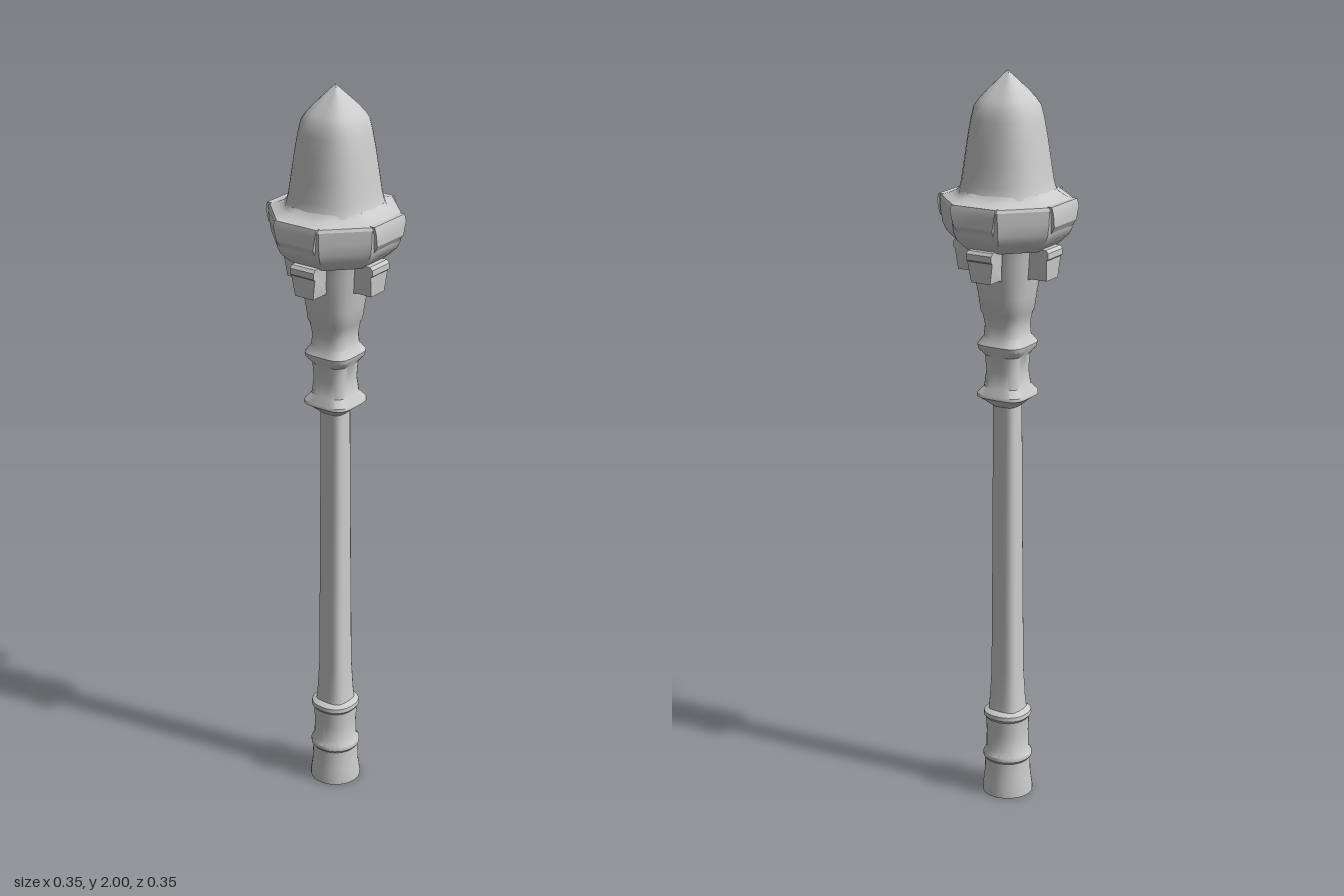
import * as THREE from 'three';
import { toCreasedNormals } from 'three/addons/utils/BufferGeometryUtils.js';

const material = new THREE.MeshStandardMaterial({ color: 0xcccccc });
const SEGMENTS = 32;

// Polar radius of a superellipse: n = 2 is a circle, larger n is squarer
const roundedSquare = (t, r, n) =>
  r / Math.pow(Math.abs(Math.cos(t)) ** n + Math.abs(Math.sin(t)) ** n, 1 / n);

// Polar radius of a square with cut corners; d = diagonal reach / half width
const octagon = (t, r, d) => {
  const c = Math.abs(Math.cos(t)), s = Math.abs(Math.sin(t));
  return Math.min(r / Math.max(c, s), (d * r * Math.SQRT2) / (c + s));
};

// Skin rings of [height, half width, section shape] from bottom to top
function loft(name, rings, section, crease = 0.6) {
  const positions = [], index = [];
  for (const [y, r, k] of rings) {
    for (let j = 0; j < SEGMENTS; j++) {
      const t = (j / SEGMENTS) * Math.PI * 2, d = section(t, r, k);
      positions.push(d * Math.cos(t), y, d * Math.sin(t));
    }
  }
  for (let i = 0; i < rings.length - 1; i++) {
    for (let j = 0; j < SEGMENTS; j++) {
      const k = (j + 1) % SEGMENTS;
      const a = i * SEGMENTS + j, b = i * SEGMENTS + k;
      const c = a + SEGMENTS, d = b + SEGMENTS;
      if (rings[i][1] > 0) index.push(a, c, b);
      if (rings[i + 1][1] > 0) index.push(b, c, d);
    }
  }
  // A pointed ring needs only the triangles that touch the other ring
  const geometry = new THREE.BufferGeometry();
  geometry.setAttribute('position', new THREE.Float32BufferAttribute(positions, 3));
  geometry.setIndex(index);
  const mesh = new THREE.Mesh(toCreasedNormals(geometry, crease), material);
  mesh.name = name;
  return mesh;
}

// Extrude a [radius, height] outline to a given width, facing +x.
// The width shrinks to `taper` of itself at the lowest point.
function sidePiece(name, outline, width, taper) {
  const shape = new THREE.Shape(outline.map(([r, y]) => new THREE.Vector2(r, y)));
  const geometry = new THREE.ExtrudeGeometry(shape, { depth: width, bevelEnabled: false });
  geometry.translate(0, 0, -width / 2);
  const heights = outline.map((p) => p[1]);
  const low = Math.min(...heights), high = Math.max(...heights);
  const p = geometry.attributes.position;
  for (let i = 0; i < p.count; i++) {
    const f = (p.getY(i) - low) / (high - low);
    p.setZ(i, p.getZ(i) * THREE.MathUtils.lerp(taper, 1, Math.min(1, f * 1.4)));
  }
  const mesh = new THREE.Mesh(toCreasedNormals(geometry, 0.5), material);
  mesh.name = name;
  return mesh;
}

export function createModel() {
  const model = new THREE.Group();
  model.name = 'lampPost';
  const post = new THREE.Group();
  post.name = 'post';
  post.position.x = -0.006;
  model.add(post);

  // Round foot with two raised bands
  post.add(loft('foot', [
    [0, 0, 2], [0, 0.069, 2], [0.012, 0.069, 2], [0.05, 0.063, 2.1], [0.1, 0.061, 2.1],
    [0.107, 0.066, 2.1], [0.117, 0.066, 2.1], [0.13, 0.057, 2.2], [0.18, 0.056, 2.2],
    [0.222, 0.057, 2.3], [0.23, 0.063, 2.3], [0.241, 0.062, 2.3], [0.25, 0.048, 2.5],
    [0.25, 0, 2.5],
  ], roundedSquare));

  // Long shaft with softened square section
  post.add(loft('shaft', [
    [0.24, 0.048, 3], [0.28, 0.043, 3.5], [0.36, 0.038, 4], [0.7, 0.0355, 4], [1.14, 0.033, 4],
  ], roundedSquare));

  // Square collars and flaring neck
  post.add(loft('neck', [
    [1.12, 0, 4], [1.12, 0.034, 4], [1.138, 0.055, 4], [1.148, 0.07, 4], [1.156, 0.069, 4],
    [1.175, 0.054, 3.6], [1.215, 0.049, 3.6], [1.26, 0.052, 3.6], [1.278, 0.066, 4],
    [1.29, 0.068, 4], [1.31, 0.055, 3.5], [1.34, 0.053, 3.2], [1.37, 0.059, 3],
    [1.38, 0.064, 3], [1.42, 0.07, 2.8], [1.47, 0.08, 2.6], [1.52, 0.086, 2.6],
    [1.57, 0.095, 2.5],
  ], roundedSquare));

  // Eight-sided bowl with a lip sweeping up to the dome
  post.add(loft('bowl', [
    [1.553, 0, 1], [1.553, 0.115, 1], [1.566, 0.13, 1], [1.585, 0.15, 0.99],
    [1.605, 0.16, 0.98], [1.635, 0.166, 0.97], [1.668, 0.168, 0.97], [1.676, 0.164, 0.97],
    [1.682, 0.14, 1], [1.69, 0.124, 1.03], [1.7, 0.115, 1.06],
  ], octagon, 0.5));

  // Tapered dome ending in a four-sided point
  post.add(loft('dome', [
    [1.68, 0.126, 2.4], [1.695, 0.118, 2.5], [1.72, 0.111, 2.6], [1.77, 0.104, 2.6],
    [1.83, 0.095, 2.7], [1.88, 0.086, 2.8], [1.91, 0.078, 3], [1.928, 0.066, 3.2],
    [1.95, 0.047, 3.5], [1.975, 0.023, 4], [2, 0, 4],
  ], roundedSquare));

  // Four brackets and four lip panels, one per side
  const bracketOutline = [
    [0.05, 1.46], [0.085, 1.475], [0.133, 1.475], [0.137, 1.53], [0.142, 1.534],
    [0.142, 1.55], [0.135, 1.558], [0.05, 1.558],
  ];
  const panelOutline = [
    [0.12, 1.605], [0.158, 1.605], [0.171, 1.625], [0.173, 1.66], [0.168, 1.678], [0.12, 1.678],
  ];
  for (let i = 0; i < 4; i++) {
    const side = new THREE.Group();
    side.name = 'side' + (i + 1);
    side.rotation.y = (i * Math.PI) / 2;
    side.add(sidePiece('bracket', bracketOutline, 0.074, 0.7));
    side.add(sidePiece('lipPanel', panelOutline, 0.13, 0.8));
    post.add(side);
  }
  return model;
}
